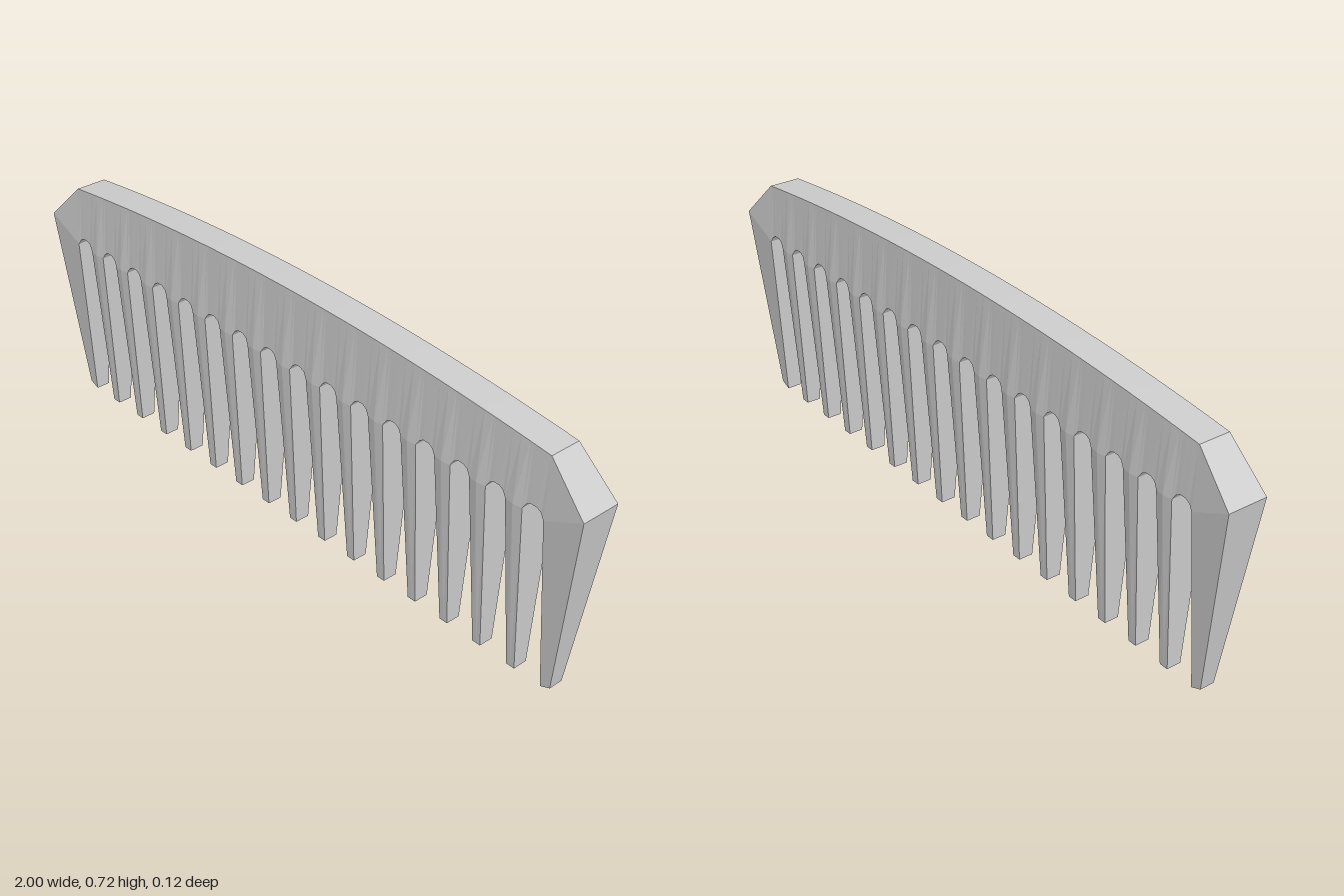
import * as THREE from 'three';

const PITCH = 0.1136;      // spacing of the inner teeth
const ROOT = 0.5;          // height where teeth meet the spine
const HALF_ROOT = 0.026;   // half tooth width at the root
const HALF_TIP = 0.013;    // half tooth width at the tip
const END_X = 0.885;       // inner edge of the end teeth

// Solid between two rows of [x, y, halfThickness], left to right, mirrored front to back
function slab(top, bottom, { capTop = true, capBottom = () => true, capEnds = true } = {}) {
  const pos = [];
  const f = ([x, y, z]) => new THREE.Vector3(x, y, z);
  const b = ([x, y, z]) => new THREE.Vector3(x, y, -z);
  const tri = (...pts) => {
    if (new THREE.Triangle(...pts).getArea() > 1e-8) pts.forEach(p => pos.push(p.x, p.y, p.z));
  };
  const quad = (p, q, r, s) => { tri(p, q, r); tri(p, r, s); };
  for (let i = 0; i < top.length - 1; i++) {
    const [tA, tB, bA, bB] = [top[i], top[i + 1], bottom[i], bottom[i + 1]];
    quad(f(bA), f(bB), f(tB), f(tA));
    quad(b(bB), b(bA), b(tA), b(tB));
    if (capTop) quad(f(tA), f(tB), b(tB), b(tA));
    if (capBottom(bA, bB)) quad(b(bA), b(bB), f(bB), f(bA));
  }
  if (capEnds) {
    const n = top.length - 1;
    quad(b(bottom[0]), f(bottom[0]), f(top[0]), b(top[0]));
    quad(f(bottom[n]), b(bottom[n]), b(top[n]), f(top[n]));
  }
  const geo = new THREE.BufferGeometry();
  geo.setAttribute('position', new THREE.Float32BufferAttribute(pos, 3));
  geo.computeVertexNormals();
  return geo;
}

const flip = row => row.map(([x, y, z]) => [-x, y, z]).reverse();

export function createModel() {
  const group = new THREE.Group();
  const material = new THREE.MeshStandardMaterial({ color: 0xcccccc, flatShading: true });
  const add = (name, geo) => {
    const mesh = new THREE.Mesh(geo, material);
    mesh.name = name;
    group.add(mesh);
  };

  // Spine underside: rounded gaps alternating with slightly ridged tooth roots
  const corner = [-1, 0.555, 0.057];
  const under = [corner, [-END_X, ROOT, 0.055]];
  const arch = [[0.15, 0.515], [0.35, 0.523], [0.65, 0.523], [0.85, 0.515]];
  for (let i = -7; i <= 8; i++) {
    const c = i * PITCH;
    const start = under[under.length - 1][0];
    const end = i === 8 ? END_X : c - HALF_ROOT;
    arch.forEach(([t, y]) => under.push([start + (end - start) * t, y, 0.053]));
    under.push([end, ROOT, 0.055]);
    if (i < 8) under.push([c, ROOT, 0.059], [c + HALF_ROOT, ROOT, 0.055]);
  }
  under.push([1, 0.555, 0.057]);

  // Gently bowed top edge with chamfered corners
  const crown = under.map(p => Math.abs(p[0]) > 0.99
    ? p
    : [p[0], 0.722 - 0.052 * (p[0] / END_X) ** 2, 0.045]);
  const isArch = (a, b) => Math.max(a[1], b[1]) > ROOT + 0.01 && Math.max(a[1], b[1]) < 0.55;
  add('spine', slab(crown, under, { capBottom: isArch, capEnds: false }));

  // Inner teeth, tapering in width and thickness
  for (let i = -7; i <= 7; i++) {
    const c = i * PITCH;
    const root = [[c - HALF_ROOT, ROOT, 0.055], [c, ROOT, 0.059], [c + HALF_ROOT, ROOT, 0.055]];
    const tip = [-HALF_TIP, 0, HALF_TIP].map(d => [c + d, 0, 0.021]);
    add('tooth', slab(root, tip, { capTop: false }));
  }

  // Broad guard teeth at both ends
  const endRoot = [corner, [-END_X, ROOT, 0.055]];
  const endTip = [[-0.922, 0.012, 0.021], [-0.892, 0, 0.021]];
  add('rightEndTooth', slab(endRoot, endTip, { capTop: false }));
  add('leftEndTooth', slab(flip(endRoot), flip(endTip), { capTop: false }));

  return group;
}
